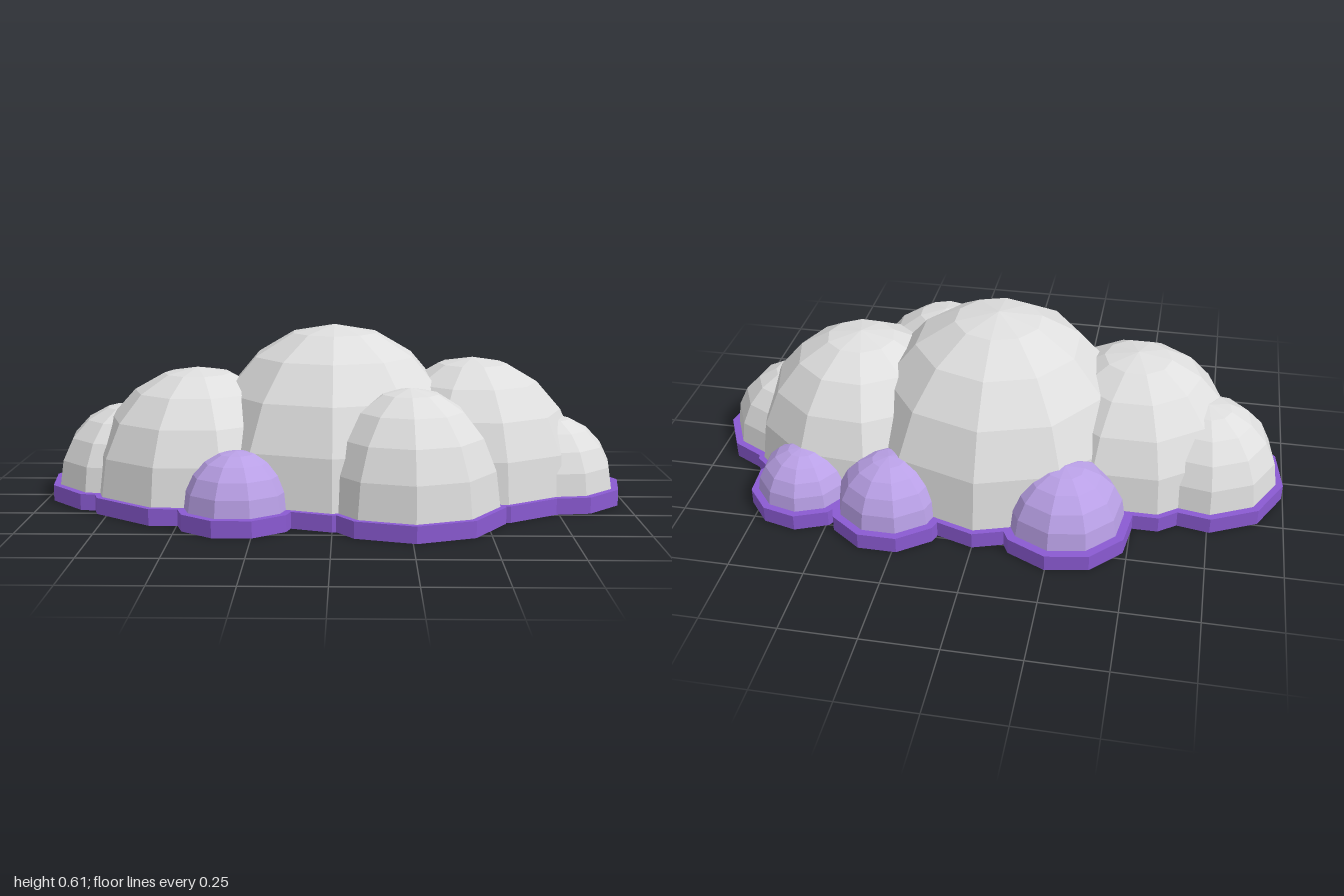
import * as THREE from 'three';

const SIDES = 10;
const BASE_HEIGHT = 0.055;

function flatMaterial(name, color) {
  const material = new THREE.MeshStandardMaterial({ color, flatShading: true });
  material.name = name;
  return material;
}

// x, z, dome radius, base radius, dome top, angle of one corner in degrees
const PUFFS = [
  ['centrePuff', 0, -0.03, 0.48, 0.5, 0.605, 90],
  ['rightPuff', -0.47, 0.03, 0.37, 0.39, 0.463, 0],
  ['leftPuff', 0.48, -0.04, 0.38, 0.4, 0.49, 4],
  ['frontPuff', 0.25, 0.27, 0.303, 0.323, 0.43, 16],
  ['rightEndPuff', -0.72, -0.04, 0.255, 0.28, 0.325, 10],
  ['leftEndPuff', 0.745, 0, 0.23, 0.255, 0.293, -8],
];
const ACCENTS = [
  ['frontAccent', -0.31, 0.345, 0.18, 0.205, 0.236, 0],
  ['backRightAccent', -0.28, -0.37, 0.2, 0.23, 0.25, -10],
  ['backMiddleAccent', 0.3, -0.4, 0.18, 0.207, 0.235, 0],
  ['backLeftAccent', 0.61, -0.36, 0.16, 0.185, 0.207, -22],
];

export function createModel() {
  const model = new THREE.Group();
  model.name = 'cloud';
  const grey = flatMaterial('cloud grey', 0xdedede);
  const lilac = flatMaterial('lilac', 0xb9a0e6);
  const purple = flatMaterial('base purple', 0x8a5ad2);

  // One half-dome on its slightly wider foot plate
  function addPuff([name, x, z, radius, footRadius, top, degrees], material) {
    const group = new THREE.Group();
    group.name = name;
    group.position.set(x, 0, z);
    group.rotation.y = -THREE.MathUtils.degToRad(degrees);

    const dome = new THREE.Mesh(
      new THREE.SphereGeometry(1, SIDES, 5, 0, Math.PI * 2, 0, Math.PI / 2), material);
    dome.name = name + 'Dome';
    dome.scale.set(radius, top - BASE_HEIGHT, radius);
    dome.position.y = BASE_HEIGHT;

    const foot = new THREE.Mesh(
      new THREE.CylinderGeometry(footRadius, footRadius, BASE_HEIGHT, SIDES, 1, false, Math.PI / 2), purple);
    foot.name = name + 'Base';
    foot.position.y = BASE_HEIGHT / 2;

    group.add(dome, foot);
    model.add(group);
  }

  PUFFS.forEach((puff) => addPuff(puff, grey));
  ACCENTS.forEach((puff) => addPuff(puff, lilac));
  return model;
}
